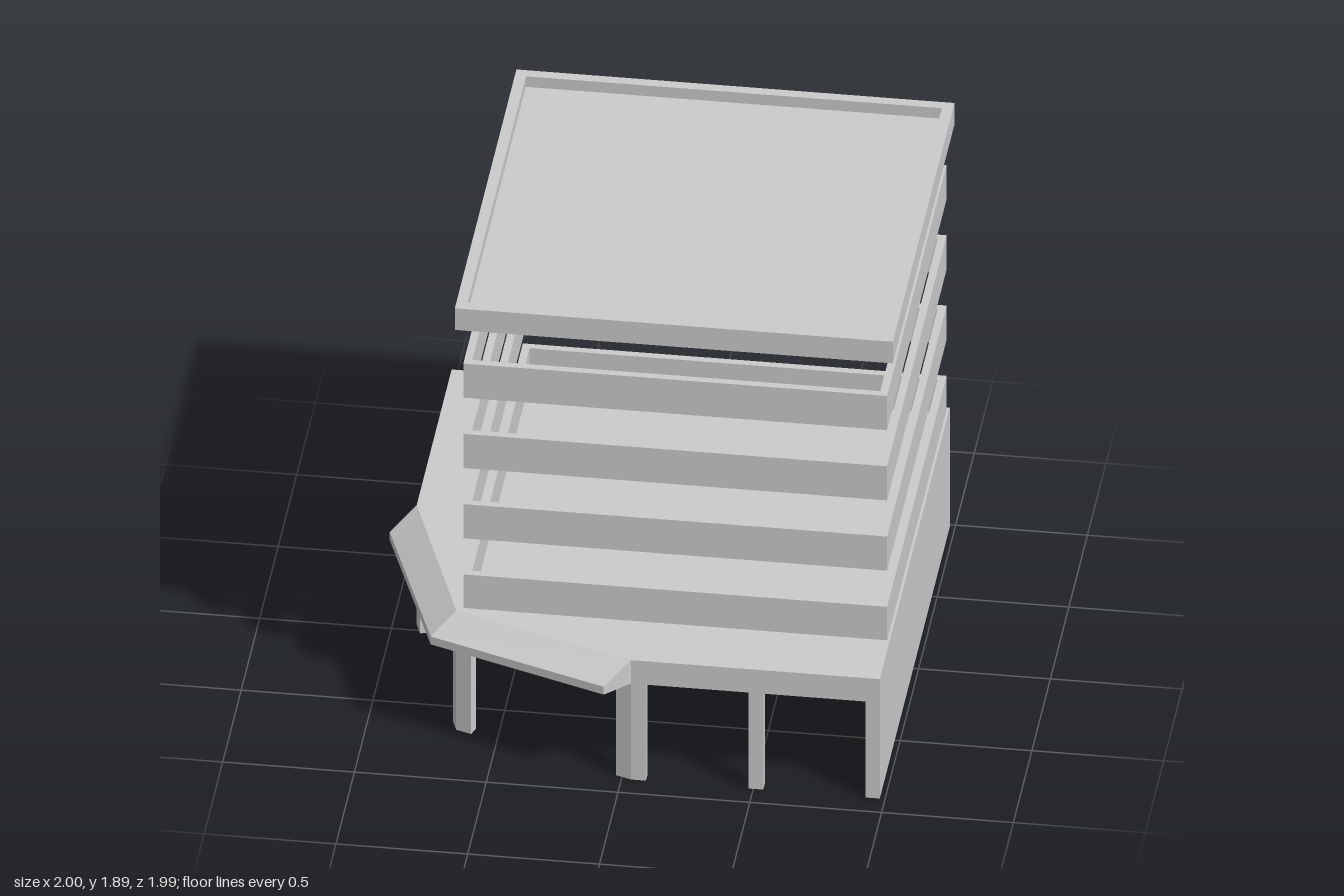
import * as THREE from 'three';

const mat = new THREE.MeshStandardMaterial({ color: 0xcccccc, flatShading: true });
const openMat = new THREE.MeshStandardMaterial({
  color: 0xcccccc, flatShading: true, side: THREE.DoubleSide,
});
const WALL = 0.04;        // wall thickness
const LINTEL = 0.43;      // top of the openings
const PODIUM = 0.535;     // top of the podium

// Plan points are [x, z], running clockwise seen from above.
const mirror = ([x, z]) => [-z - 0.004, -x - 0.004]; // across the building's diagonal

// Shift a plan path inwards by t, mitring its corners.
function inset(path, t, closed) {
  const n = path.length;
  const normal = (a, b) => {
    const dx = b[0] - a[0], dz = b[1] - a[1], l = Math.hypot(dx, dz);
    return [-dz / l, dx / l];
  };
  return path.map((p, i) => {
    const prev = i > 0 || closed ? path[(i + n - 1) % n] : null;
    const next = i < n - 1 || closed ? path[(i + 1) % n] : null;
    const n1 = prev ? normal(prev, p) : normal(p, next);
    const n2 = next ? normal(p, next) : n1;
    const k = t / (1 + n1[0] * n2[0] + n1[1] * n2[1]);
    return [p[0] + (n1[0] + n2[0]) * k, p[1] + (n1[1] + n2[1]) * k];
  });
}

// Raise a plan outline (with optional hole) from y0 to y1.
function prism(name, outline, y0, y1, hole) {
  const toVec = ([x, z]) => new THREE.Vector2(x, -z);
  const shape = new THREE.Shape(outline.map(toVec));
  // the hole runs the other way, so its walls face into it
  if (hole) shape.holes.push(new THREE.Path(hole.map(toVec).reverse()));
  const geo = new THREE.ExtrudeGeometry(shape, { depth: y1 - y0, bevelEnabled: false });
  geo.rotateX(-Math.PI / 2).translate(0, y0, 0);
  const mesh = new THREE.Mesh(geo, mat);
  mesh.name = name;
  return mesh;
}

const ring = (name, outline, t, y0, y1) => prism(name, outline, y0, y1, inset(outline, t, true));
const square = (cx, cz, h) =>
  [[cx - h, cz - h], [cx + h, cz - h], [cx + h, cz + h], [cx - h, cz + h]];

// Mesh from a list of four-cornered faces.
function quadMesh(name, quads, material) {
  const pos = quads.flatMap(([a, b, c, d]) => [a, b, c, a, c, d].flat());
  const geo = new THREE.BufferGeometry();
  geo.setAttribute('position', new THREE.Float32BufferAttribute(pos, 3));
  geo.computeVertexNormals();
  const mesh = new THREE.Mesh(geo, material);
  mesh.name = name;
  return mesh;
}

// Hollow wall or post along a plan path, open at the foot.
function wall(name, path) {
  const loop = [...path, ...inset(path, WALL, false).reverse()];
  const quads = loop.map((p, i) => {
    const q = loop[(i + 1) % loop.length];
    return [[q[0], 0, q[1]], [p[0], 0, p[1]], [p[0], LINTEL, p[1]], [q[0], LINTEL, q[1]]];
  });
  return quadMesh(name, quads, openMat);
}

// Point at distance d from a towards b.
function toward(a, b, d) {
  const l = Math.hypot(b[0] - a[0], b[1] - a[1]);
  return [a[0] + (b[0] - a[0]) * d / l, a[1] + (b[1] - a[1]) * d / l];
}

// Sloping canopy: a four-cornered section swept through the stations.
function makeCanopy(inner, outer) {
  const sections = inner.map((p, i) => {
    const q = outer[i];
    return [
      [p[0], PODIUM, p[1]], [q[0], 0.465, q[1]],
      [q[0], LINTEL, q[1]], [p[0], LINTEL, p[1]],
    ];
  });
  const last = sections[sections.length - 1];
  const quads = [sections[0], [...last].reverse()];
  for (let k = 0; k < sections.length - 1; k++) {
    const s = sections[k], e = sections[k + 1];
    for (let j = 0; j < 4; j++) {
      const m = (j + 1) % 4;
      quads.push([s[j], e[j], e[m], s[m]]);
    }
  }
  return quadMesh('canopy', quads, mat);
}

export function createModel() {
  const model = new THREE.Group();
  model.name = 'building';

  // Podium outline, with two bends and an obtuse corner at the entrance
  const F = 0.906, B = 0.98;
  const bend = [0.036, F], corner = [-0.662, 0.658];
  const frontRight = [B, F], backLeft = mirror(frontRight);
  const outline = [backLeft, [B, backLeft[1]], frontRight, bend, corner, mirror(bend)];

  const podium = new THREE.Group();
  podium.name = 'podium';
  podium.add(ring('fascia', outline, WALL, LINTEL, PODIUM));
  podium.add(prism('podiumRoof', inset(outline, WALL, true), PODIUM - 0.015, PODIUM));

  // Solid back and side walls, returning a little round each end
  const end = [0.925, F];
  podium.add(wall('backAndSideWalls',
    [mirror(end), backLeft, [B, backLeft[1]], frontRight, end]));

  // Posts between the openings
  const post = [[0.538, F], [0.482, F]];
  podium.add(wall('frontPost', post));
  podium.add(wall('sidePost', post.map(mirror).reverse()));
  const frontBend = [[0.093, F], bend, toward(bend, corner, 0.063)];
  podium.add(wall('frontBendPost', frontBend));
  podium.add(wall('sideBendPost', frontBend.map(mirror).reverse()));
  podium.add(wall('cornerPost',
    [toward(corner, bend, 0.063), corner, toward(corner, mirror(bend), 0.063)]));

  // Canopy over the entrance corner
  const tip = [-0.055, 0.996];
  podium.add(makeCanopy([bend, corner, mirror(bend)], [tip, [-0.747, 0.743], mirror(tip)]));
  model.add(podium);

  // Floating parapet band for each storey
  const tower = new THREE.Group();
  tower.name = 'tower';
  for (let i = 0; i < 4; i++) {
    const top = 0.685 + i * 0.315;
    tower.add(ring('storeyBand', square(0.166, -0.167, 0.804), 0.03, top - 0.153, top));
  }

  // Roof: deeper rim with a thin deck set inside it
  const rim = square(0.165, -0.165, 0.831);
  tower.add(ring('roofRim', rim, 0.042, 1.797, 1.894));
  tower.add(prism('roofDeck', inset(rim, 0.042, true), 1.835, 1.847));
  model.add(tower);

  return model;
}
